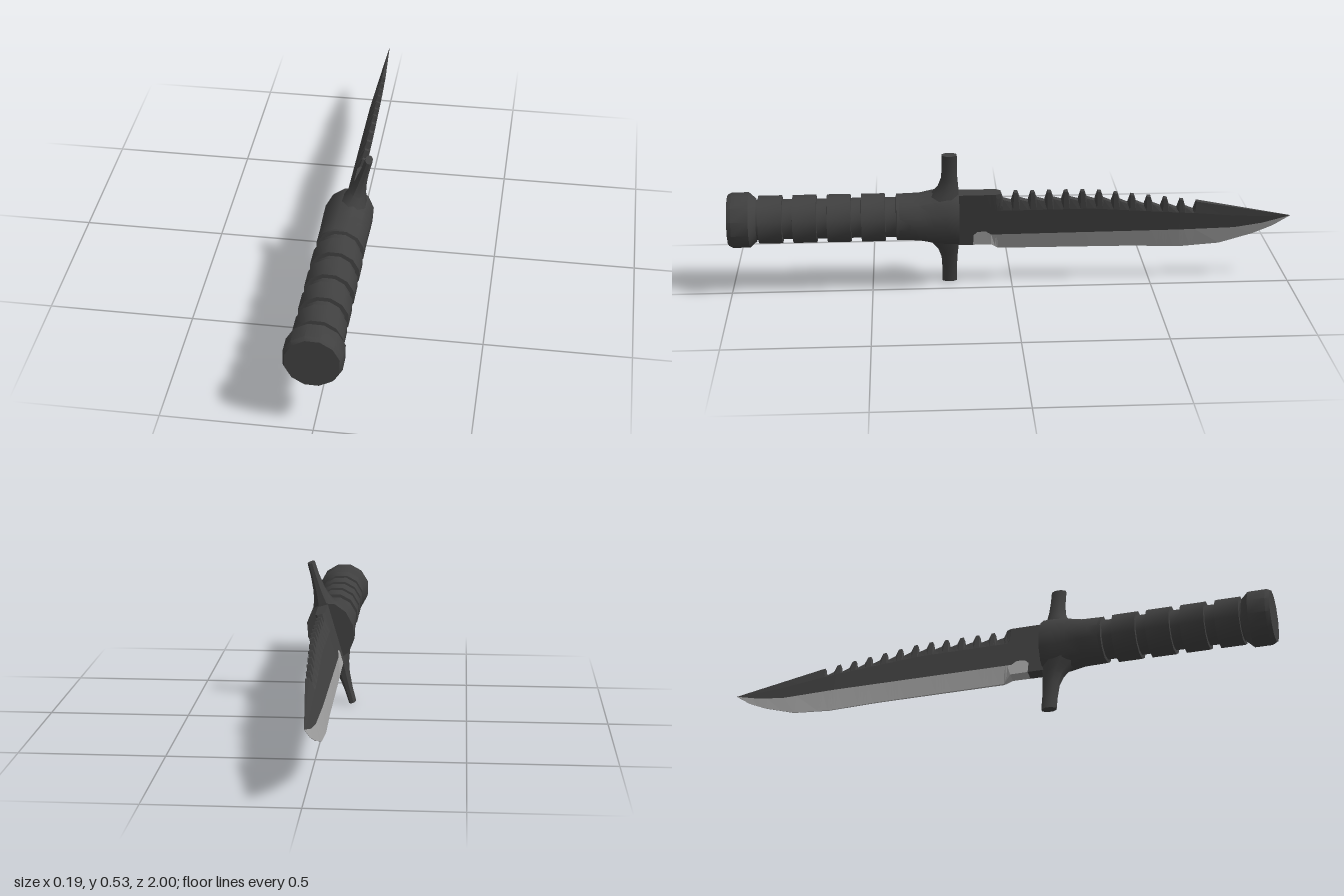
import * as THREE from 'three';
import { toCreasedNormals } from 'three/addons/utils/BufferGeometryUtils.js';

const ROLL = 0.285, AXIS_Y = 0.277; // the knife lies rolled about its long axis

// Skin closed cross-sections (counter-clockwise seen from the far end); pick chooses faces
function loft(rings, { cap = false, crease = 0, pick = () => true } = {}) {
  const pos = [];
  const tri = (...p) => p.forEach(v => pos.push(...v));
  for (let k = 0; k < rings.length - 1; k++) {
    const r0 = rings[k], r1 = rings[k + 1], n = r0.length;
    for (let i = 0; i < n; i++) {
      if (!pick(i, k)) continue;
      const j = (i + 1) % n;
      tri(r0[i], r0[j], r1[j]);
      tri(r0[i], r1[j], r1[i]);
    }
  }
  if (cap) {
    const a = rings[0], b = rings[rings.length - 1];
    for (let i = 1; i < a.length - 1; i++) {
      tri(a[0], a[i + 1], a[i]);
      tri(b[0], b[i], b[i + 1]);
    }
  }
  const g = new THREE.BufferGeometry();
  g.setAttribute('position', new THREE.Float32BufferAttribute(pos, 3));
  g.computeVertexNormals();
  return crease ? toCreasedNormals(g, crease) : g;
}

// Piecewise linear lookup in a table of [z, value], z falling
function at(table, z) {
  for (let i = 1; i < table.length; i++) {
    const [z0, v0] = table[i - 1], [z1, v1] = table[i];
    if (z >= z1) return v0 + (v1 - v0) * Math.min(1, Math.max(0, (z0 - z) / (z0 - z1)));
  }
  return table[table.length - 1][1];
}

export function createModel() {
  const dark = new THREE.MeshStandardMaterial({ color: 0x404040 });
  dark.name = 'dark coating';
  const steel = new THREE.MeshStandardMaterial({ color: 0xa6a6a6 });
  steel.name = 'bare steel';

  const knife = new THREE.Group();
  knife.name = 'knife';
  const add = (name, geometry, material) => {
    const m = new THREE.Mesh(geometry, material);
    m.name = name;
    knife.add(m);
  };

  // Grip: grooves between rings
  const grip = [[0.083, 0.36], [0.083, 0.41], [0.071, 0.412]];
  for (let i = 0; i < 4; i++) {
    const z = 0.45 + i * 0.12;
    grip.push([0.071, z - 0.001], [0.085, z], [0.085, z + 0.083], [0.071, z + 0.084]);
  }
  grip.push([0.071, 0.92]);
  const lathe = pts => toCreasedNormals(
    new THREE.LatheGeometry(pts.map(p => new THREE.Vector2(...p)), 12).rotateX(Math.PI / 2), 0.6);
  add('grip', lathe(grip), dark);

  // Pommel
  add('pommel', lathe([[0.075, 0.9], [0.098, 0.925], [0.098, 0.985], [0.09, 1], [0, 1]]), dark);

  // Guard collar: round at the grip, oval at the blade
  const collar = [[0.19, 0.085, 0.108], [0.235, 0.085, 0.108], [0.28, 0.084, 0.1], [0.33, 0.083, 0.086], [0.4, 0.083, 0.083]]
    .map(([z, rx, ry]) => Array.from({ length: 12 }, (_, i) => {
      const a = i * Math.PI / 6;
      return [rx * Math.sin(a + Math.PI / 2), -ry * Math.cos(a + Math.PI / 2), z];
    }));
  add('guardCollar', loft(collar, { cap: true, crease: 0.6 }), dark);

  // Guard arms: [height, half width, back z, front z]
  const armSections = [[0.05, 0.055, 0.19, 0.32], [0.095, 0.04, 0.19, 0.285], [0.125, 0.028, 0.192, 0.263],
    [0.16, 0.02, 0.195, 0.252], [0.21, 0.0145, 0.197, 0.249], [0.26, 0.0125, 0.197, 0.249]];
  const arm = length => loft(armSections.map(([y, w, zb, zf]) =>
    Array.from({ length: 8 }, (_, i) => {
      const a = (i + 0.5) * Math.PI / 4, s = 1.08;
      const c = Math.max(-1, Math.min(1, Math.cos(a) * s)), d = Math.max(-1, Math.min(1, Math.sin(a) * s));
      return [c * w, y * length / 0.26, (zb + zf) / 2 - d * (zf - zb) / 2];
    })), { cap: true, crease: 0.8 });
  add('upperGuardArm', arm(0.26), dark);
  add('lowerGuardArm', arm(0.284).rotateZ(Math.PI), dark);

  // Blade outlines along z: back, grind line, cutting edge, half thicknesses
  const top = [[0.2, 0.372], [0.055, 0.372], [-0.28, 0.372], [-0.654, 0.32], [-1, 0.25]];
  const grind = [[0.2, 0.165], [0.14, 0.165], [0.139, 0.205], [0.125, 0.219], [0.095, 0.221],
    [0.075, 0.207], [-0.8, 0.209], [-0.9, 0.223], [-1, 0.25]];
  const edge = [[0.2, 0.165], [0.075, 0.165], [0.05, 0.139], [-0.42, 0.135], [-0.61, 0.128],
    [-0.75, 0.139], [-0.87, 0.177], [-0.94, 0.209], [-1, 0.25]];
  const body = [[0.2, 0.019], [0, 0.018], [-0.6, 0.014], [-1, 0.0005]];
  const spineHalf = [[0.2, 0.019], [0.06, 0.018], [0.04, 0.009], [-0.65, 0.007], [-1, 0.0005]];
  const edgeHalf = [[0.2, 0.019], [0.075, 0.018], [0.05, 0.003], [-1, 0.0005]];

  // Saw teeth cut into the back
  const teeth = 12, pitch = 0.709 / teeth;
  const back = [[0.2, 0.372]];
  for (let i = 0; i < teeth; i++) {
    for (const [t, depth] of [[0, 0], [0.2, 0], [0.36, 0.028], [0.84, 0.037]]) {
      const z = 0.055 - (i + t) * pitch;
      back.push([z, at(top, z) - depth]);
    }
  }
  back.push([-0.654, 0.32], [-1, 0.25]);

  // Blade cross-sections from tip to guard
  const stations = [...new Set([back, grind, edge, body, spineHalf, edgeHalf].flat().map(p => p[0]))].sort((a, b) => a - b);
  const local = y => (y - AXIS_Y) / Math.cos(ROLL);
  const rings = stations.map(z => {
    const g = at(grind, z), shoulder = g + 0.6 * (at(top, z) - g);
    const side = [[at(edgeHalf, z), at(edge, z)], [at(body, z), g], [at(body, z), shoulder], [at(spineHalf, z), at(back, z)]];
    return [...side.map(([x, y]) => [x, local(y), z]), ...side.reverse().map(([x, y]) => [-x, local(y), z])];
  });
  const isSteel = (i, k) => (i === 0 || i >= 6) && stations[k] < 0.139;
  add('bladeBody', loft(rings, { pick: (i, k) => !isSteel(i, k) }), dark);
  add('bladeEdge', loft(rings, { pick: isSteel }), steel);

  knife.rotation.z = -ROLL;
  knife.position.y = AXIS_Y;
  const model = new THREE.Group();
  model.name = 'survivalKnife';
  model.add(knife);
  return model;
}
